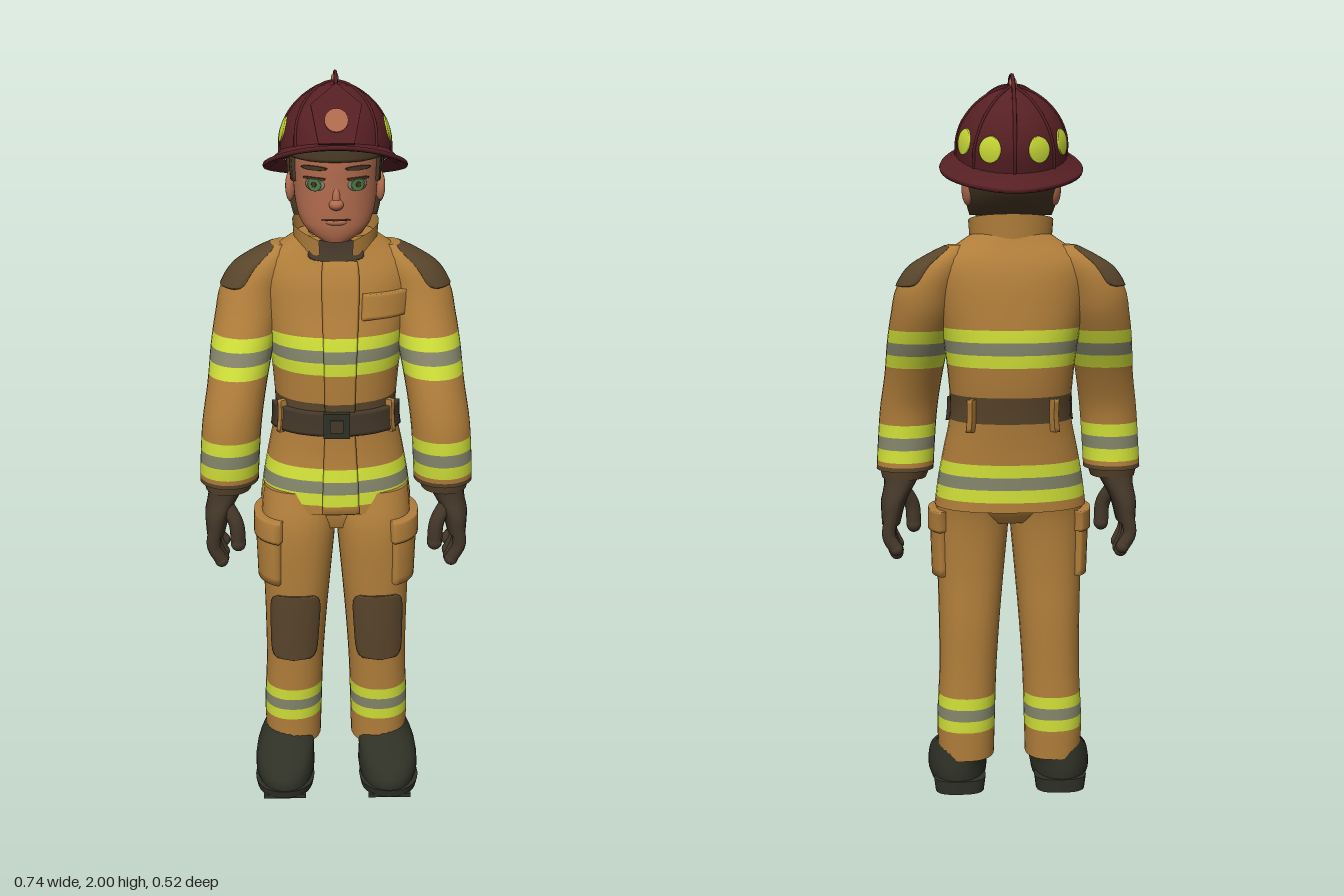
import * as THREE from 'three';

const mat = (name, color, side = THREE.FrontSide) => {
  const m = new THREE.MeshStandardMaterial({ color, side });
  m.name = name;
  return m;
};
const TAN = mat('tan cloth', 0xb27f3b, THREE.DoubleSide), YELLOW = mat('reflective yellow', 0xd0e038);
const GREY = mat('reflective grey', 0x85866b), PATCH = mat('brown patch', 0x5a462c);
const GLOVE = mat('dark leather', 0x45382a), BOOT = mat('boot rubber', 0x2f3126);
const RED = mat('helmet maroon', 0x572024), SKIN = mat('skin', 0xb26c4e);
const HAIR = mat('hair brown', 0x483825), EYE = mat('eye green', 0x4f7f48);

// Cross-sections are [y, centre x, centre z, half width, half depth]
const TORSO = [[.845, 0, -.005, .21, .146], [.92, 0, -.007, .2, .143], [1.0, 0, -.015, .185, .138],
  [1.1, 0, -.023, .166, .142], [1.2, 0, -.03, .17, .152], [1.3, 0, -.035, .182, .155],
  [1.4, 0, -.045, .198, .138], [1.48, 0, -.05, .205, .122], [1.525, 0, -.053, .192, .104],
  [1.555, 0, -.05, .152, .09], [1.59, 0, -.045, .1, .08]];
const ARM = [[.93, .292, .075, .08, .082], [1.0, .288, .08, .08, .082], [1.1, .28, .075, .08, .082],
  [1.2, .265, .045, .08, .088], [1.3, .25, .002, .085, .095], [1.38, .235, -.03, .087, .095],
  [1.44, .222, -.045, .087, .09], [1.5, .192, -.052, .08, .082], [1.535, .165, -.055, .052, .066], [1.558, .145, -.055, .025, .04]];
const LEG = [[.1, .125, .035, .08, .085], [.2, .125, .035, .083, .088], [.35, .119, .04, .082, .09],
  [.5, .114, .045, .087, .095], [.65, .109, .05, .095, .097], [.8, .104, .045, .103, .1], [.9, .1, .02, .1, .1]];
const HEAD = [[1.583, 0, .035, .035, .028], [1.6, 0, .025, .065, .047], [1.63, 0, -.003, .092, .077],
  [1.68, 0, -.03, .106, .105], [1.74, 0, -.045, .111, .12], [1.8, 0, -.05, .112, .125], [1.85, 0, -.05, .1, .115]];
const DOME = [[-.01, 0, 0, .146, .168], [.055, 0, 0, .142, .163], [.1, 0, 0, .123, .143],
  [.138, 0, 0, .092, .109], [.168, 0, 0, .05, .06], [.184, 0, 0, .006, .007]];

// Smooth interpolation between cross-sections
function sectionAt(sec, y) {
  let i = 0;
  while (i < sec.length - 2 && y > sec[i + 1][0]) i++;
  const a = sec[i], b = sec[i + 1], h = b[0] - a[0], t = (y - a[0]) / h;
  const slope = (j, k) => {
    const p = sec[Math.max(j - 1, 0)], q = sec[Math.min(j + 1, sec.length - 1)];
    return (q[k] - p[k]) / (q[0] - p[0]);
  };
  return [0, 1, 2, 3, 4].map(k => k === 0 ? y :
    (2 * t ** 3 - 3 * t * t + 1) * a[k] + (t ** 3 - 2 * t * t + t) * h * slope(i, k) +
    (3 * t * t - 2 * t ** 3) * b[k] + (t ** 3 - t * t) * h * slope(i + 1, k));
}
function pointOn(sec, y, a, off = 0, e = 1, s = 1) {
  const [, cx, cz, rx, rz] = sectionAt(sec, y);
  const pw = v => Math.sign(v) * Math.abs(v) ** e;
  return [cx * s + (rx + off) * pw(Math.sin(a)), y, cz + (rz + off) * pw(Math.cos(a))];
}

function add(parent, name, geo, material, pos = [0, 0, 0], rot = [0, 0, 0], scale = [1, 1, 1]) {
  const m = new THREE.Mesh(geo, material);
  m.name = name;
  m.position.set(...pos); m.rotation.set(...rot); m.scale.set(...scale);
  parent.add(m);
}

// Skin over rows of points, one material per row
function skinRows(parent, name, rows, mats, closed, caps) {
  const pos = rows.flat(2), idx = [], n = rows[0].length, geo = new THREE.BufferGeometry();
  const list = [...new Set(mats)];
  const group = (start, m) => geo.addGroup(start, idx.length - start, list.indexOf(m));
  for (let i = 0; i < rows.length - 1; i++) {
    const start = idx.length;
    for (let j = 0; j < (closed ? n : n - 1); j++) {
      const k = (j + 1) % n, a = i * n + j, b = i * n + k;
      idx.push(a, b, b + n, a, b + n, a + n);
    }
    group(start, mats[i]);
  }
  if (caps) for (const top of [false, true]) {
    const ring = top ? rows.at(-1) : rows[0], base = pos.length / 3, start = idx.length;
    const mid = [0, 1, 2].map(k => ring.reduce((t, p) => t + p[k], 0) / n);
    pos.push(...ring.flat(), ...mid);
    for (let j = 0; j < n; j++) {
      const a = base + j, b = base + (j + 1) % n;
      idx.push(...(top ? [a, b, base + n] : [b, a, base + n]));
    }
    group(start, top ? mats.at(-1) : mats[0]);
  }
  geo.setAttribute('position', new THREE.Float32BufferAttribute(pos, 3));
  geo.setIndex(idx);
  geo.computeVertexNormals();
  add(parent, name, geo, list.length > 1 ? list : list[0]);
}

// Full body (no angles) or a raised panel on it (angles given; n rounds its outline)
function surf(parent, name, sec, material, o = {}) {
  const { s = 1, y0 = sec[0][0], y1 = sec.at(-1)[0], angles, off = 0, n = 0, e = 1, bands = [], cols = 28 } = o;
  const steps = Math.max(n ? 14 : angles ? 8 : 5, Math.round((y1 - y0) / .022));
  const set = new Set([y0, y1, ...bands.flatMap(b => [b[0], b[1]]).filter(y => y > y0 && y < y1)]);
  for (let i = 1; i < steps; i++) {
    const f = i / steps;
    set.add(y0 + (y1 - y0) * (n ? (1 - Math.cos(Math.PI * f)) / 2 : f));
  }
  let ys = [...set].sort((p, q) => p - q), us;
  if (angles) {
    ys = [y0, ...ys, y1];
    us = [0, ...Array.from({ length: 15 }, (_, j) => j / 14), 1];
  } else us = Array.from({ length: cols }, (_, j) => j / cols);
  const [a0, a1] = !angles ? [0, Math.PI * 2] : s > 0 ? angles : [-angles[1], -angles[0]];
  const rows = ys.map((y, i) => us.map((u, j) => {
    const rim = angles && (!i || !j || i === ys.length - 1 || j === us.length - 1);
    const t = Math.min(1, Math.abs(2 * (y - y0) / (y1 - y0) - 1));
    const w = n ? Math.max(.02, (1 - t ** n) ** (1 / n)) : 1;
    return pointOn(sec, y, (a0 + a1) / 2 + (u - .5) * (a1 - a0) * w, rim ? -.003 : off, e, s);
  }));
  const mats = ys.slice(1).map((y, i) => {
    const m = (y + ys[i]) / 2, b = bands.find(q => m > q[0] && m < q[1]);
    return b ? b[2] : material;
  });
  skinRows(parent, name, rows, mats, !angles, !angles);
}
const stripes = (lo, hi) => [YELLOW, GREY, YELLOW].map((m, i) => [lo + (hi - lo) * i / 3, lo + (hi - lo) * (i + 1) / 3, m]);
const tube = (pts, r, seg = 12) =>
  new THREE.TubeGeometry(new THREE.CatmullRomCurve3(pts.map(p => new THREE.Vector3(...p))), seg, r, 8);
const ball = new THREE.SphereGeometry(1, 20, 14);

function buildCoat(g) {
  const bands = [...stripes(.872, .975), [1.088, 1.16, PATCH], ...stripes(1.24, 1.34)];
  surf(g, 'coat', TORSO, TAN, { e: .9, bands, cols: 40 });
  surf(g, 'coatFrontFlap', TORSO, TAN, { y0: .85, y1: 1.53, angles: [-.15, .25], off: .008, e: .9, bands });
  surf(g, 'chestPocketFlap', TORSO, TAN, { y0: 1.385, y1: 1.45, angles: [.3, 1.05], off: .014, e: .9 });
  surf(g, 'belt', TORSO, GLOVE, { y0: 1.072, y1: 1.138, angles: [-1.3, 1.3], off: .014, e: .9 });
  add(g, 'beltBuckle', new THREE.BoxGeometry(.07, .07, .02), BOOT, [0, 1.105, .134]);
  add(g, 'buckleBar', new THREE.BoxGeometry(.035, .035, .026), GLOVE, [0, 1.105, .135]);
  for (const a of [-2.5, -.95, .95, 2.5])
    surf(g, 'beltLoop', TORSO, TAN, { y0: 1.065, y1: 1.155, angles: [a - .05, a + .05], off: .018, e: .9 });
  // Shirt showing in the open neck
  surf(g, 'shirtFront', TORSO, GLOVE, { y0: 1.53, y1: 1.588, angles: [-.42, .42], off: .004, n: 3, e: .9 });
  // Standing collar, open and lower at the throat
  const collar = [0, .35, .7, 1].map(v => Array.from({ length: 33 }, (_, j) => {
    const a = .4 + (Math.PI * 2 - .8) * j / 32, back = (1 - Math.cos(a)) / 2;
    return [(.108 + .006 * v) * Math.sin(a), 1.545 + v * (.02 + .075 * back ** .4), -.036 + (.094 + .004 * v) * Math.cos(a)];
  }));
  skinRows(g, 'collar', collar, [TAN, TAN, TAN], false, false);
}

function buildArm(g, s) {
  surf(g, 'sleeve', ARM, TAN, { s, bands: [[.93, .942, PATCH], ...stripes(.955, 1.06), ...stripes(1.225, 1.33)] });
  surf(g, 'shoulderPatch', ARM, PATCH, { s, y0: 1.448, y1: 1.557, angles: [.3, 2.75], off: .004, n: 7 });
  surf(g, 'cuff', [[.905, .295, .075, .062, .066], [.94, .293, .075, .072, .075]], PATCH, { s });
  surf(g, 'glovePalm', [[.775, .333, .068, .026, .072], [.84, .325, .07, .036, .075], [.88, .31, .07, .042, .064],
    [.93, .296, .075, .056, .06]], GLOVE, { s, e: .85 });
  // Fingers, then thumb
  for (let i = 0; i < 4; i++) {
    const z = .124 - i * .037, tip = [.69, .68, .682, .7][i];
    add(g, 'finger', tube([[s * .332, .8, z], [s * .338, .745, z - .003], [s * .318, tip + .01, z - .008]], .019), GLOVE);
    add(g, 'fingerTip', ball, GLOVE, [s * .318, tip + .01, z - .008], [0, 0, 0], [.019, .019, .019]);
  }
  add(g, 'thumb', tube([[s * .305, .87, .105], [s * .275, .815, .122], [s * .27, .755, .122]], .021), GLOVE);
  add(g, 'thumbTip', ball, GLOVE, [s * .27, .755, .122], [0, 0, 0], [.021, .023, .021]);
}

function buildLeg(g, s) {
  surf(g, 'trouserLeg', LEG, TAN, { s, e: .9, bands: stripes(.185, .285) });
  surf(g, 'kneePatch', LEG, PATCH, { s, y0: .39, y1: .6, angles: [-.75, .85], off: .006, n: 5, e: .9 });
  surf(g, 'cargoPocket', LEG, TAN, { s, y0: .635, y1: .8, angles: [.45, 2.3], off: .016, e: .9 });
  surf(g, 'cargoPocketFlap', LEG, TAN, { s, y0: .765, y1: .825, angles: [.4, 2.35], off: .022, e: .9 });
  surf(g, 'boot', [[.02, .148, .105, .08, .15], [.045, .15, .105, .086, .155], [.07, .15, .1, .084, .15],
    [.095, .147, .083, .081, .13], [.115, .138, .045, .078, .09], [.15, .127, .035, .07, .08]], BOOT, { s, e: .9 });
  surf(g, 'bootSole', [[.008, .15, .165, .08, .09], [.032, .15, .165, .085, .095]], BOOT, { s, e: .9 });
  surf(g, 'bootHeel', [[0, .145, .005, .07, .055], [.04, .145, .005, .075, .058]], BOOT, { s, e: .7 });
  for (let i = 0; i < 5; i++)
    add(g, 'soleTread', new THREE.BoxGeometry(.12, .012, .018), BOOT, [s * .15, .006, .1 + i * .034]);
}

function buildHead(g) {
  add(g, 'neck', new THREE.CylinderGeometry(.068, .078, .14, 24), SKIN, [0, 1.575, -.035]);
  surf(g, 'head', HEAD, SKIN, { cols: 36 });
  add(g, 'nose', ball, SKIN, [0, 1.684, .073], [0, 0, 0], [.019, .015, .02]);
  add(g, 'noseBridge', ball, SKIN, [0, 1.705, .068], [-.25, 0, 0], [.011, .035, .014]);
  add(g, 'lips', ball, SKIN, [0, 1.638, .068], [0, 0, 0], [.028, .01, .01]);
  surf(g, 'mouth', HEAD, HAIR, { y0: 1.643, y1: 1.6465, angles: [-.38, .38], off: .006, n: 2 });
  for (const s of [-1, 1]) {
    surf(g, 'eye', HEAD, GREY, { s, y0: 1.717, y1: 1.749, angles: [.27, .76], off: .003, n: 2 });
    surf(g, 'iris', HEAD, EYE, { s, y0: 1.717, y1: 1.749, angles: [.34, .68], off: .005, n: 2 });
    surf(g, 'pupil', HEAD, HAIR, { s, y0: 1.727, y1: 1.741, angles: [.45, .57], off: .007, n: 2 });
    surf(g, 'eyelid', HEAD, HAIR, { s, y0: 1.746, y1: 1.752, angles: [.25, .8], off: .006, n: 4 });
    surf(g, 'eyebrow', HEAD, HAIR, { s, y0: 1.77, y1: 1.781, angles: [.2, .85], off: .006, n: 2 });
    add(g, 'ear', ball, SKIN, [s * .116, 1.702, -.075], [-.15, s * .3, 0], [.014, .042, .027]);
    surf(g, 'sideHair', HEAD, HAIR, { s, y0: 1.73, y1: 1.845, angles: [1.2, 1.9], off: .008 });
  }
  surf(g, 'backHair', HEAD, HAIR, { y0: 1.635, y1: 1.845, angles: [1.85, Math.PI * 2 - 1.85], off: .02 });
  surf(g, 'fringe', HEAD, HAIR, { y0: 1.793, y1: 1.848, angles: [-1.25, 1.25], off: .01 });
}

function buildHelmet(root) {
  const g = new THREE.Group();
  g.name = 'helmet';
  g.position.set(0, 1.79, -.07);
  g.rotation.x = -.3;
  root.add(g);
  surf(g, 'helmetDome', DOME, RED, { cols: 40 });
  for (let k = 0; k < 8; k++)
    add(g, 'domeRib', tube([0, .05, .1, .14, .17, .182].map(y => pointOn(DOME, y, k * Math.PI / 4)), .004, 18), RED);
  // Brim: under face outwards, then upper face back in
  const brim = [[0, -.012], [.5, -.012], [.95, -.008], [1, 0], [.95, .004], [.5, 0], [0, .006]].map(([v, dy]) =>
    Array.from({ length: 48 }, (_, j) => {
      const a = j / 48 * Math.PI * 2, c = Math.cos(a), sn = Math.sin(a);
      const tail = c < 0 ? .016 * c ** 8 : 0;
      const drop = .01 + .022 * sn * sn + (c < 0 ? .022 * c * c : 0);
      return [(.142 + .048 * v) * sn, dy - drop * v, (.162 + (.034 + tail) * v) * c];
    }));
  skinRows(g, 'helmetBrim', brim, Array(6).fill(RED), true, false);
  for (const s of [-1, 1]) for (const a of [1.35, 2.02, 2.68])
    surf(g, 'reflectorDisc', DOME, YELLOW, { s, y0: .024, y1: .088, angles: [a - .21, a + .21], off: .003, n: 2 });
  // Front shield with a round badge
  const shield = new THREE.Group();
  shield.name = 'frontShield';
  shield.position.set(0, 1.84, .096);
  shield.rotation.x = -.45;
  root.add(shield);
  const shape = new THREE.Shape([[-.045, 0], [.045, 0], [.064, .1], [.035, .125], [0, .155], [-.035, .125], [-.064, .1]]
    .map(p => new THREE.Vector2(...p)));
  add(shield, 'shieldPlate', new THREE.ExtrudeGeometry(shape, { depth: .01, bevelEnabled: false }), RED);
  add(shield, 'shieldBadge', new THREE.CylinderGeometry(.03, .03, .008, 20), SKIN, [0, .058, .012], [Math.PI / 2, 0, 0]);
  add(root, 'helmetComb', tube([[0, 1.965, .04], [0, 1.99, 0], [0, 1.995, -.06], [0, 1.985, -.13],
    [0, 1.94, -.195], [0, 1.86, -.235], [0, 1.78, -.237]], .005, 32), RED);
  add(root, 'crownKnob', ball, SKIN, [0, 1.972, -.128], [0, 0, 0], [.01, .014, .01]);
}

export function createModel() {
  const root = new THREE.Group();
  root.name = 'firefighter';
  const part = (name, build, ...args) => {
    const g = new THREE.Group();
    g.name = name;
    build(g, ...args);
    root.add(g);
  };
  part('coatGroup', buildCoat);
  for (const [side, s] of [['left', 1], ['right', -1]]) {
    part(side + 'Arm', buildArm, s);
    part(side + 'Leg', buildLeg, s);
  }
  surf(root, 'trouserSeat', [[.79, 0, .035, .12, .07], [.83, 0, .025, .17, .09], [.9, 0, .01, .175, .1]], TAN);
  part('headGroup', buildHead);
  buildHelmet(root);
  return root;
}
